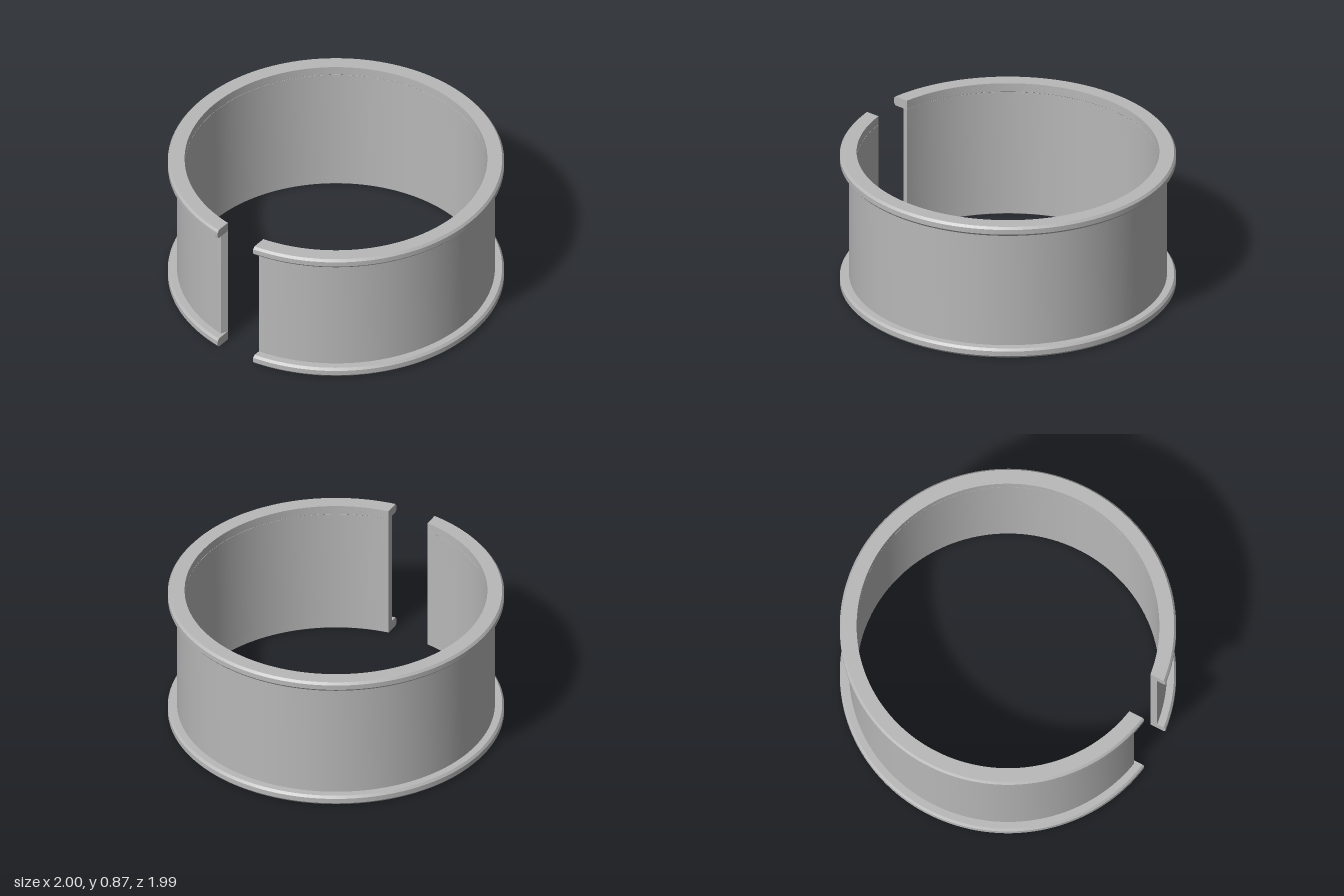
import * as THREE from 'three';

const SEGMENTS = 144;

// Sweeps a convex, counter-clockwise (radius, height) profile around the y axis,
// leaving a gap at the front. Ends are cut at x = leftX and x = -rightX(radius).
function openRing(profile, leftX, rightX) {
  const pos = [], index = [];
  const point = ([r, y], i) => {
    const start = Math.asin(leftX / r);
    const end = 2 * Math.PI - Math.asin(rightX(r) / r);
    const a = start + (end - start) * i / SEGMENTS;
    return [r * Math.sin(a), y, r * Math.cos(a)];
  };

  // One smooth strip per profile edge, so the profile corners stay sharp
  profile.forEach((p, j) => {
    const q = profile[(j + 1) % profile.length];
    const base = pos.length / 3;
    for (let i = 0; i <= SEGMENTS; i++) {
      pos.push(...point(p, i), ...point(q, i));
      if (i === SEGMENTS) break;
      const k = base + i * 2;
      index.push(k, k + 2, k + 1, k + 1, k + 2, k + 3);
    }
  });

  // End caps
  for (const i of [0, SEGMENTS]) {
    const base = pos.length / 3;
    profile.forEach(p => pos.push(...point(p, i)));
    for (let j = 1; j < profile.length - 1; j++) {
      if (i === 0) index.push(base, base + j, base + j + 1);
      else index.push(base, base + j + 1, base + j);
    }
  }

  const geometry = new THREE.BufferGeometry();
  geometry.setAttribute('position', new THREE.Float32BufferAttribute(pos, 3));
  geometry.setIndex(index);
  geometry.computeVertexNormals();
  return geometry;
}

export function createModel() {
  const group = new THREE.Group();
  group.name = 'openCuff';
  const metal = new THREE.MeshStandardMaterial({ color: 0xb8b8b8 });
  metal.name = 'grey metal';

  const add = (name, geometry) => {
    const mesh = new THREE.Mesh(geometry, metal);
    mesh.name = name;
    group.add(mesh);
  };

  // Thin wall, with its right end sloping back towards the outside
  const inner = 0.9, outer = 0.945;
  const slope = r => 0.135 + 0.02 * (r - inner) / (outer - inner);
  add('band', openRing(
    [[inner, 0.06], [outer, 0.06], [outer, 0.812], [inner, 0.812]], 0.13, slope));

  // Bevelled rims along the bottom and top edges
  const rim = y => [
    [inner + 0.004, y], [0.988, y], [1, y + 0.014], [1, y + 0.045],
    [0.988, y + 0.06], [inner, y + 0.06], [inner, y + 0.004],
  ];
  add('bottomRim', openRing(rim(0), 0.13, () => 0.135));
  add('topRim', openRing(rim(0.81), 0.13, () => 0.135));

  return group;
}
